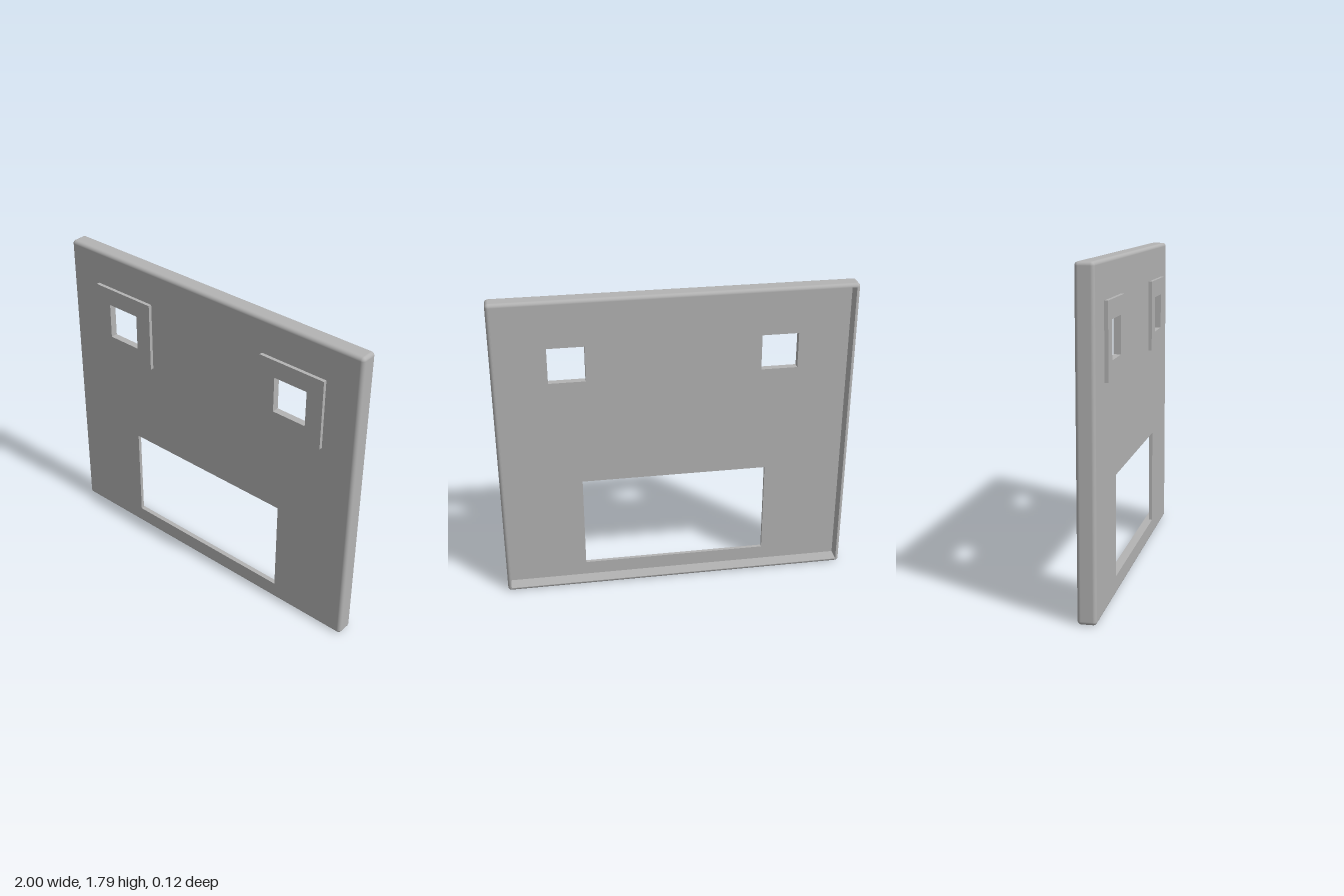
import * as THREE from 'three';

const W = 2, H = 1.795, R = 0.02;          // overall size and edge radius
const BACK = -0.06, FRONT = 0.04, SKIN = 0.02;
const grey = new THREE.MeshStandardMaterial({ color: 0xb3b3b3 });
grey.name = 'plain grey';

// Rectangle given by its centre and half sizes
function rect(Type, cx, cy, hw, hh) {
  const p = new Type();
  p.moveTo(cx - hw, cy - hh).lineTo(cx + hw, cy - hh);
  p.lineTo(cx + hw, cy + hh).lineTo(cx - hw, cy + hh).closePath();
  return p;
}

// Flat plate with holes between two z levels
function plate(name, shape, z0, z1) {
  const geo = new THREE.ExtrudeGeometry(shape, { depth: z1 - z0, bevelEnabled: false });
  geo.translate(0, 0, z0);
  const mesh = new THREE.Mesh(geo, grey);
  mesh.name = name;
  return mesh;
}

// Rounded outer edge: a half-stadium profile swept round the rectangle, with ball corners
function roundedEdge() {
  const STEPS = 6, hw = W / 2 - R, hh = H / 2 - R;
  const around = [];
  [[1, 1], [-1, 1], [-1, -1], [1, -1]].forEach(([sx, sy], q) => {
    for (let i = 0; i <= STEPS; i++) around.push([sx * hw, sy * hh, (q + i / STEPS) * Math.PI / 2]);
  });
  const profile = [];
  for (let i = 0; i <= STEPS; i++) profile.push([FRONT - R, Math.PI / 2 * (1 - i / STEPS)]);
  for (let i = 0; i <= STEPS; i++) profile.push([BACK + R, -Math.PI / 2 * i / STEPS]);

  const pos = [], nor = [], idx = [], n = around.length;
  profile.forEach(([z, tilt], j) => around.forEach(([x, y, turn], i) => {
    const d = [Math.cos(turn) * Math.cos(tilt), Math.sin(turn) * Math.cos(tilt), Math.sin(tilt)];
    pos.push(x + R * d[0], H / 2 + y + R * d[1], z + R * d[2]);
    nor.push(...d);
    if (j === profile.length - 1) return;
    const a = j * n + i, b = j * n + (i + 1) % n;
    idx.push(a, a + n, b, b, a + n, b + n);
  }));
  const geo = new THREE.BufferGeometry();
  geo.setAttribute('position', new THREE.Float32BufferAttribute(pos, 3));
  geo.setAttribute('normal', new THREE.Float32BufferAttribute(nor, 3));
  geo.setIndex(idx);
  const mesh = new THREE.Mesh(geo, grey);
  mesh.name = 'roundedEdge';
  return mesh;
}

// Four walls facing inwards round the recess at the back
function recessWalls() {
  const group = new THREE.Group();
  group.name = 'recessWalls';
  const depth = FRONT - SKIN - BACK, hw = W / 2 - R, hh = H / 2 - R;
  for (let i = 0; i < 4; i++) {
    const upright = i % 2 === 0;
    const geo = new THREE.PlaneGeometry(depth, 2 * (upright ? hh : hw));
    geo.rotateY(-Math.PI / 2);
    geo.translate(upright ? hw : hh, 0, BACK + depth / 2);
    geo.rotateZ(i * Math.PI / 2);
    geo.translate(0, H / 2, 0);
    const mesh = new THREE.Mesh(geo, grey);
    mesh.name = 'recessWall';
    group.add(mesh);
  }
  return group;
}

export function createModel() {
  const model = new THREE.Group();
  model.name = 'panel';
  const winX = 0.592, winY = 1.392, winHalf = 0.103, frameHalf = 0.203;

  // Front panel with two small windows and a wide opening
  const face = rect(THREE.Shape, 0, H / 2, W / 2 - R, H / 2 - R);
  face.holes.push(rect(THREE.Path, 0, 0.38, 0.532, 0.278));
  for (const s of [-1, 1]) face.holes.push(rect(THREE.Path, s * winX, winY, winHalf, winHalf));
  model.add(plate('frontPanel', face, FRONT - SKIN, FRONT), roundedEdge(), recessWalls());

  // Raised square frames round the windows
  for (const s of [-1, 1]) {
    const frame = rect(THREE.Shape, s * winX, winY, frameHalf, frameHalf);
    frame.holes.push(rect(THREE.Path, s * winX, winY, winHalf, winHalf));
    model.add(plate(s > 0 ? 'leftWindowFrame' : 'rightWindowFrame', frame, FRONT, 0.06));
  }
  return model;
}
